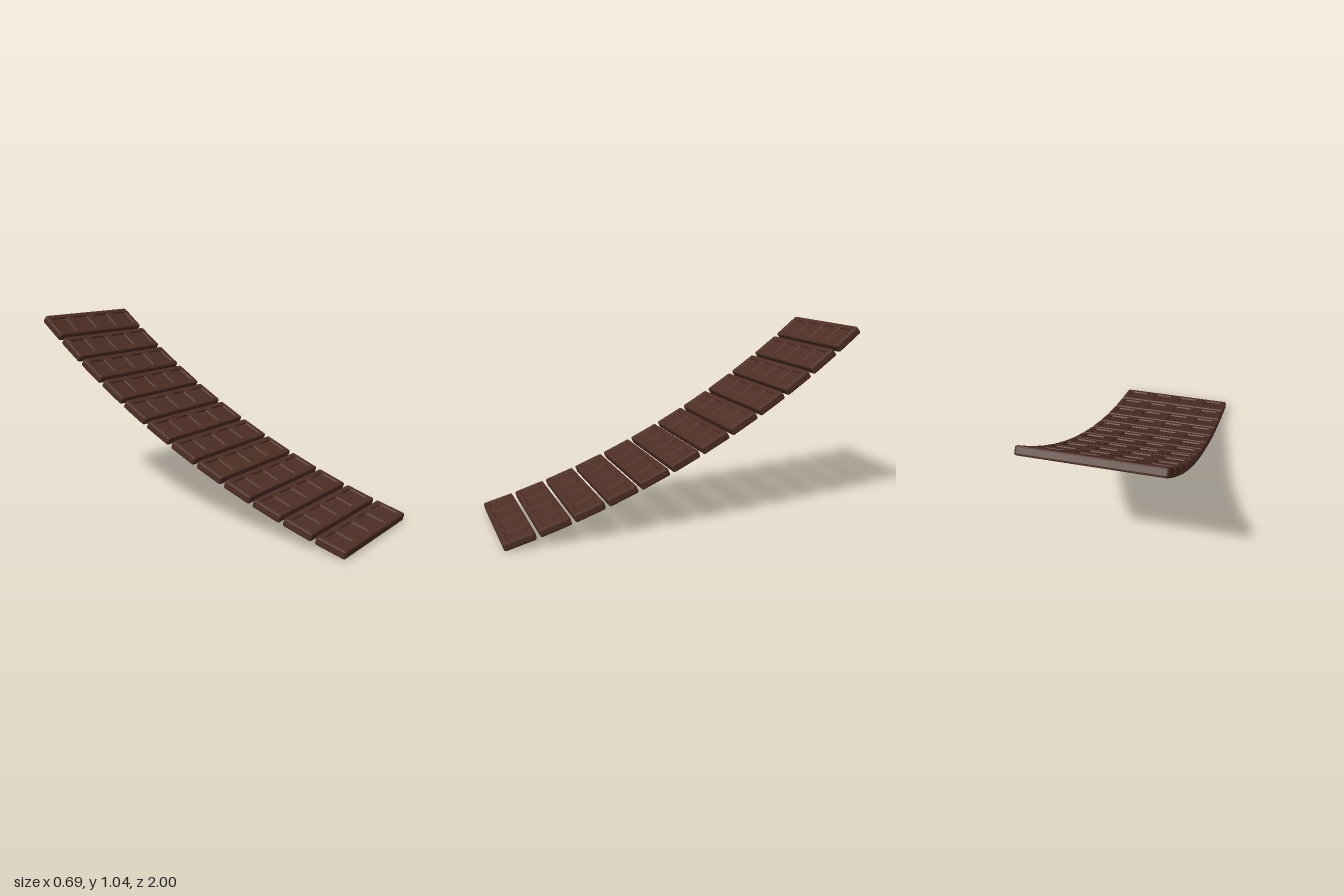
import * as THREE from 'three';

const COUNT = 12, WIDTH = 0.688, LENGTH = 0.17, THICK = 0.045;
const PITCH = 0.1886, BEVEL = 0.009, DEPTH = 0.009;

// Traces a rounded rectangle centred on (cx, cy) into a shape or path
function roundedRect(path, cx, cy, w, h, r) {
  const x = w / 2 - r, y = h / 2 - r;
  path.absarc(cx + x, cy + y, r, 0, Math.PI / 2, false);
  path.absarc(cx - x, cy + y, r, Math.PI / 2, Math.PI, false);
  path.absarc(cx - x, cy - y, r, Math.PI, Math.PI * 1.5, false);
  path.absarc(cx + x, cy - y, r, Math.PI * 1.5, Math.PI * 2, false);
  path.closePath();
  return path;
}

// Bevelled slab lying flat between heights y0 and y1
function slab(y0, y1, holes) {
  const shape = roundedRect(new THREE.Shape(), 0, 0, WIDTH - 2 * BEVEL, LENGTH - 2 * BEVEL, 0.004);
  shape.holes.push(...holes);
  const geometry = new THREE.ExtrudeGeometry(shape, {
    depth: y1 - y0 - 2 * BEVEL, bevelThickness: BEVEL, bevelSize: BEVEL,
    bevelSegments: 2, curveSegments: 4,
  });
  geometry.translate(0, 0, y0 + BEVEL - THICK / 2);
  geometry.rotateX(-Math.PI / 2);
  return geometry;
}

export function createModel() {
  const group = new THREE.Group();
  group.name = 'curvedSlatRow';
  const brown = new THREE.MeshStandardMaterial({ color: 0x4e2f25 });
  brown.name = 'dark brown';

  // Solid lower slab and an upper frame with four sunken square panels
  const holes = [-1.5, -0.5, 0.5, 1.5].map((i) =>
    roundedRect(new THREE.Path(), i * 0.172, 0, 0.122, 0.122, 0.016));
  const baseGeometry = slab(0, THICK - DEPTH, []);
  const frameGeometry = slab(0.012, THICK, holes);

  // Slats follow a curve that steepens towards the back
  const tilt = (i) => THREE.MathUtils.degToRad(15 + 2.15 * i);
  let y = 0, z = 0;
  for (let i = 0; i < COUNT; i++) {
    const slat = new THREE.Group();
    slat.name = `slat${i + 1}`;
    const base = new THREE.Mesh(baseGeometry, brown);
    base.name = 'slatBase';
    const frame = new THREE.Mesh(frameGeometry, brown);
    frame.name = 'panelFrame';
    slat.add(base, frame);
    slat.position.set(0, y, z);
    slat.rotation.x = tilt(i);
    group.add(slat);
    y += PITCH * Math.sin(tilt(i + 0.5));
    z -= PITCH * Math.cos(tilt(i + 0.5));
  }

  // Centre the row and stand it on the ground
  group.updateMatrixWorld(true);
  const box = new THREE.Box3().setFromObject(group, true);
  const middle = (box.min.z + box.max.z) / 2;
  for (const slat of group.children) {
    slat.position.y -= box.min.y;
    slat.position.z -= middle;
  }
  return group;
}
